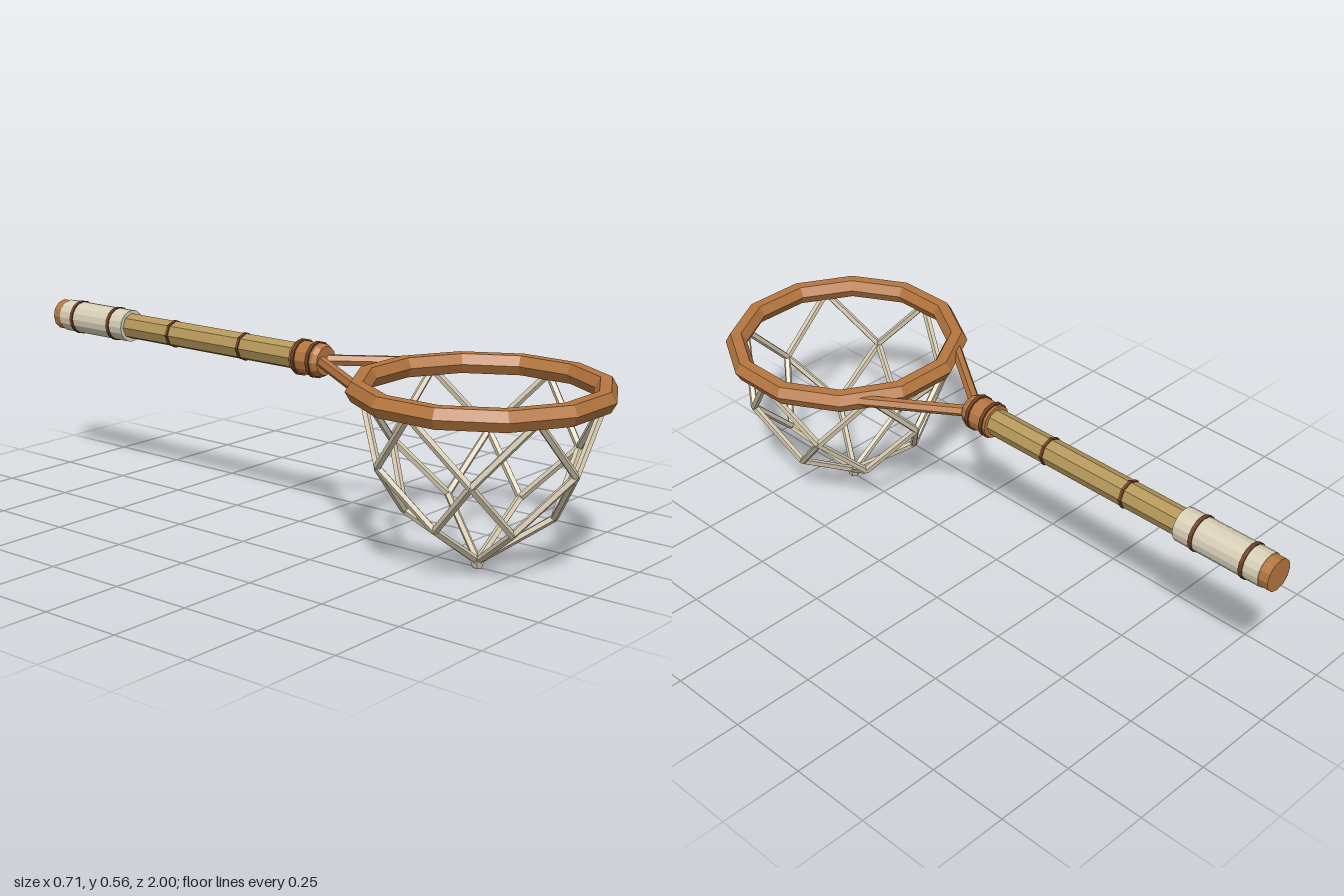
import * as THREE from 'three';

const mat = (name, color) => {
  const m = new THREE.MeshStandardMaterial({ color, flatShading: true });
  m.name = name;
  return m;
};

export function createModel() {
  const wood = mat('warm wood', 0xb5763f);
  const bamboo = mat('bamboo', 0xb5985a);
  const cord = mat('net cord', 0xd5cab0);
  const wrap = mat('grip wrap', 0xd8cfb8);
  const dark = mat('dark binding', 0x6e4024);

  const group = new THREE.Group();
  const AXIS = 0.503, HOOP_Z = 0.64;

  const add = (name, geometry, material) => {
    const mesh = new THREE.Mesh(geometry, material);
    mesh.name = name;
    group.add(mesh);
    return mesh;
  };

  // Straight rod between two points
  const rod = (name, a, b, r, sides, material) => {
    const d = b.clone().sub(a);
    const mesh = add(name, new THREE.CylinderGeometry(r, r, d.length(), sides), material);
    mesh.position.copy(a).add(b).multiplyScalar(0.5);
    mesh.quaternion.setFromUnitVectors(new THREE.Vector3(0, 1, 0), d.normalize());
  };

  // Turned section on the handle axis, from z0 (front) to z1 (back)
  const section = (name, z0, z1, r0, r1, sides, material) => {
    const g = new THREE.CylinderGeometry(r0, r1, z0 - z1, sides);
    g.rotateX(Math.PI / 2);
    add(name, g, material).position.set(0, AXIS, (z0 + z1) / 2);
  };

  // Twelve-sided hoop with a hexagonal section
  const hoop = new THREE.TorusGeometry(0.337, 0.0325, 6, 12);
  hoop.rotateZ(Math.PI / 12);
  hoop.rotateX(Math.PI / 2);
  add('hoop', hoop, wood).position.set(0, AXIS, HOOP_Z);

  // Forked struts joining hoop and handle
  for (const s of [-1, 1]) {
    rod('forkStrut', new THREE.Vector3(s * 0.008, AXIS, 0.085),
      new THREE.Vector3(s * 0.2, AXIS, 0.365), 0.017, 6, wood);
  }

  // Handle: collar, bamboo, wrapped grip and end cap
  section('collar', 0.085, 0, 0.05, 0.05, 12, wood);
  section('collarFront', 0.1, 0.085, 0.043, 0.05, 12, wood);
  section('bambooShaft', 0.01, -0.71, 0.04, 0.04, 8, bamboo);
  section('grip', -0.69, -0.97, 0.05, 0.05, 16, wrap);
  section('endCap', -0.965, -1, 0.048, 0.048, 12, wood);
  for (const z of [0.07, 0.015]) section('collarBand', z + 0.006, z - 0.006, 0.0545, 0.0545, 12, dark);
  for (const z of [-0.21, -0.5]) section('bambooNode', z + 0.005, z - 0.005, 0.043, 0.043, 8, dark);
  for (const z of [-0.75, -0.915]) section('gripBand', z + 0.006, z - 0.006, 0.053, 0.053, 16, dark);

  // Net: rings of six knots, alternately turned by half a step
  const knot = (r, y, step) => {
    const a = step * Math.PI / 3;
    return new THREE.Vector3(r * Math.cos(a), y, HOOP_Z + r * Math.sin(a));
  };
  const bottom = new THREE.Vector3(0, 0.02, HOOP_Z);
  for (let i = 0; i < 6; i++) {
    const top = knot(0.328, 0.49, i), low = knot(0.204, 0.155, i);
    for (const h of [-0.5, 0.5]) {
      const mid = knot(0.3, 0.315, i + h);
      rod('netUpperStrand', top, mid, 0.011, 5, cord);
      rod('netMiddleStrand', mid, low, 0.011, 5, cord);
    }
    rod('netLowerStrand', low, bottom, 0.011, 5, cord);
  }
  add('netKnot', new THREE.CylinderGeometry(0.024, 0.015, 0.028, 6), cord)
    .position.set(0, 0.016, HOOP_Z);

  return group;
}
